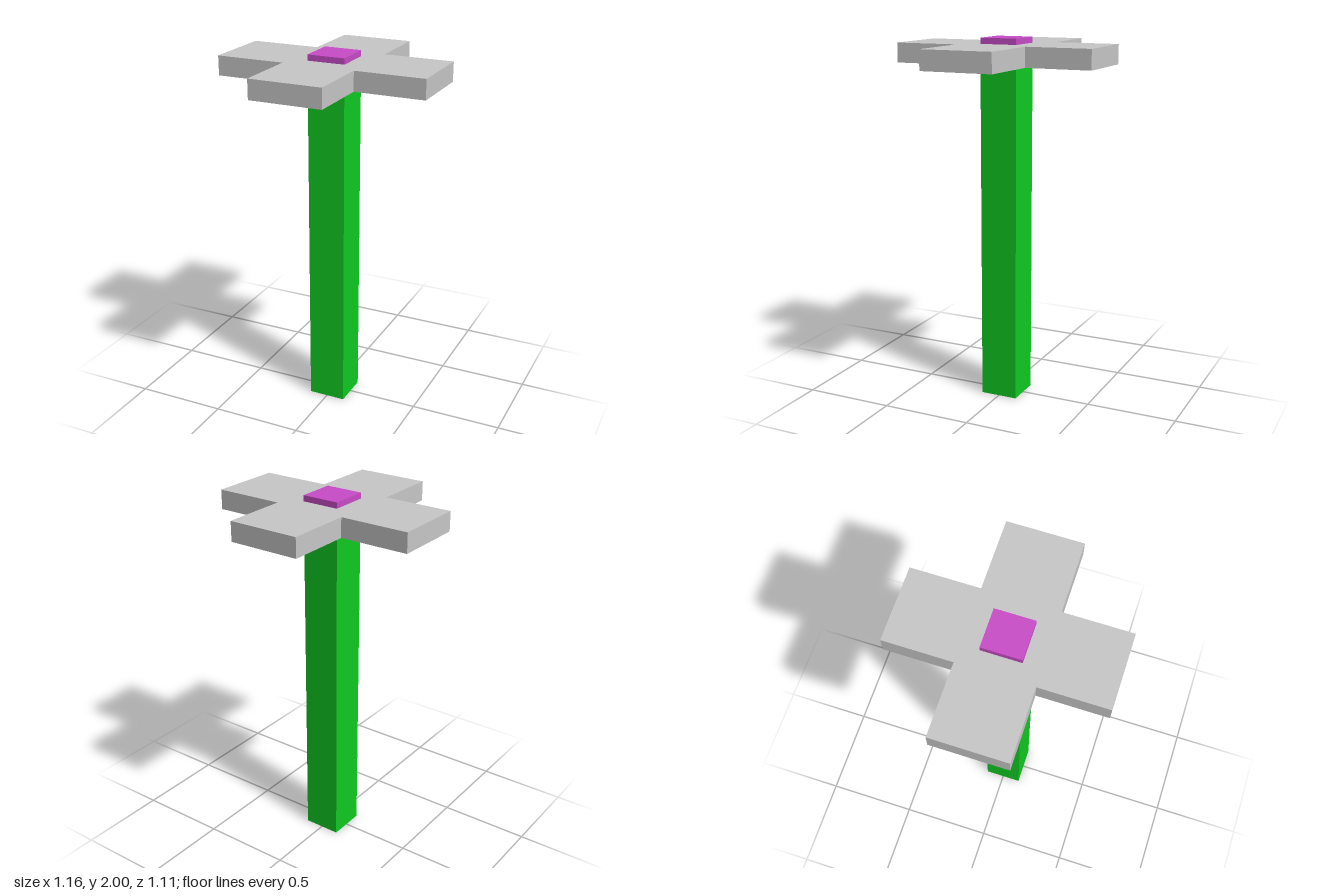
import * as THREE from 'three';

export function createModel() {
  const model = new THREE.Group();
  model.name = 'flower';

  const material = (name, color) => {
    const m = new THREE.MeshStandardMaterial({ color });
    m.name = name;
    return m;
  };
  const add = (name, geometry, mat, y) => {
    const mesh = new THREE.Mesh(geometry, mat);
    mesh.name = name;
    mesh.position.y = y;
    model.add(mesh);
  };

  const petalBottom = 1.862, petalTop = 1.968, height = 2;
  const coreWidth = 0.208;

  // Square stem
  add('stem', new THREE.BoxGeometry(coreWidth, petalBottom, coreWidth),
    material('green', 0x10cc22), petalBottom / 2);

  // Four petals as one cross-shaped slab
  const w = 0.198, reachX = 0.578, reachZ = 0.556;
  const cross = new THREE.Shape([
    [w, w], [w, reachZ], [-w, reachZ], [-w, w], [-reachX, w], [-reachX, -w],
    [-w, -w], [-w, -reachZ], [w, -reachZ], [w, -w], [reachX, -w], [reachX, w],
  ].map(([x, y]) => new THREE.Vector2(x, y)));
  const petals = new THREE.ExtrudeGeometry(cross, {
    depth: petalTop - petalBottom, bevelEnabled: false,
  });
  petals.rotateX(-Math.PI / 2);
  add('petals', petals, material('light grey', 0xc8c8c8), petalBottom);

  // Raised square centre
  add('flowerCentre', new THREE.BoxGeometry(coreWidth, height - petalTop, coreWidth),
    material('magenta', 0xc94cc8), (height + petalTop) / 2);

  return model;
}
